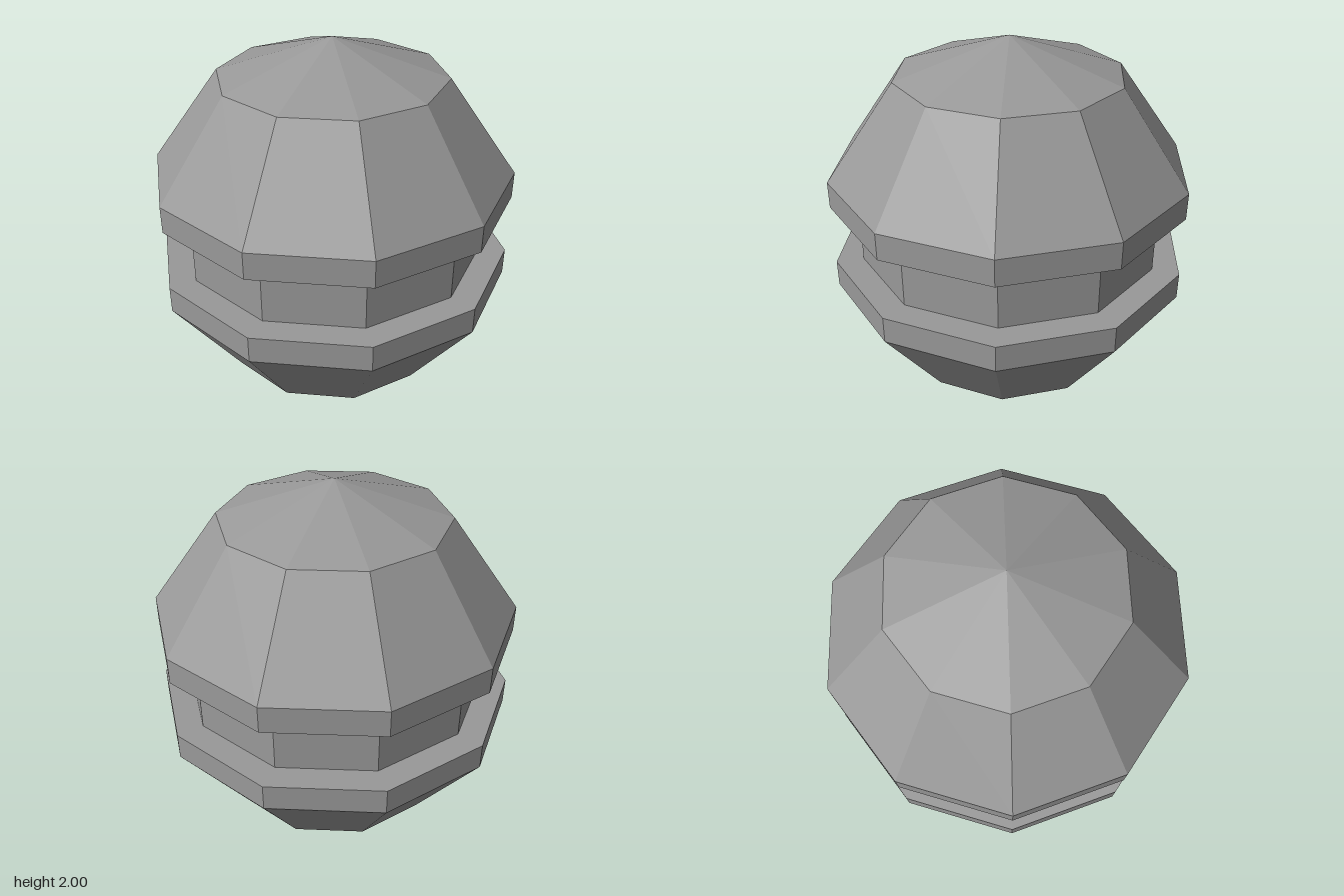
import * as THREE from 'three';

const SIDES = 10;
const RIM = 0.95, CAP = 0.59, CORE = 0.807;

export function createModel() {
  const group = new THREE.Group();
  const material = new THREE.MeshStandardMaterial({ color: 0x999999, flatShading: true });

  // Ten-sided turned part; the profile runs from bottom to top
  const addTurned = (name, profile) => {
    const points = profile.map(([r, y]) => new THREE.Vector2(r, y));
    const mesh = new THREE.Mesh(new THREE.LatheGeometry(points, SIDES), material);
    mesh.name = name;
    group.add(mesh);
  };

  // Lower shell: pointed base, sloping wall, upright rim and ledge
  const shell = [[0, 0], [CAP, 0.192], [RIM, 0.692], [RIM, 0.834], [CORE, 0.834]];
  addTurned('lowerShell', shell);

  // Recessed band between the shells
  addTurned('recessedBand', [[CORE, 0.834], [CORE, 1.166]]);

  // Upper shell: the lower one mirrored about mid-height
  addTurned('upperShell', shell.map(([r, y]) => [r, 2 - y]).reverse());

  return group;
}
